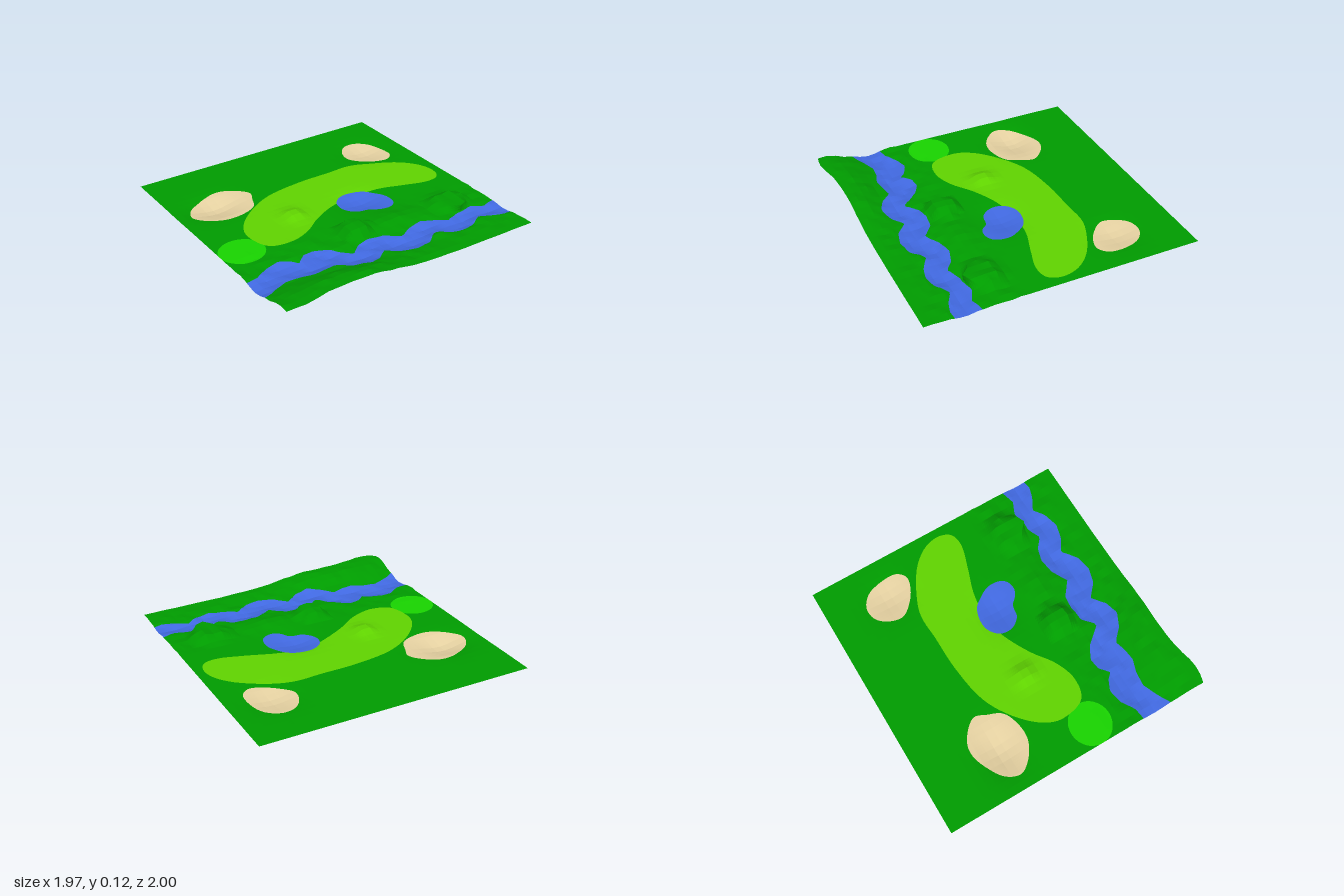
import * as THREE from 'three';

const COARSE = 33, SUB = 3;          // facets per side, and cuts per facet for clean region edges
const X0 = -0.983, Z0 = -1, SIZE = 1.966, BASE = 0.05;

// Closed outline from a few points, smoothed unless it has cusps
function outline(points, smooth = true) {
  if (!smooth) return points;
  const curve = new THREE.CatmullRomCurve3(points.map(([x, z]) => new THREE.Vector3(x, 0, z)), true);
  return curve.getPoints(points.length * 5).slice(0, -1).map(p => [p.x, p.z]);
}

// Signed distance to an outline, negative inside
function distance(poly, x, z) {
  let best = Infinity, inside = false;
  for (let i = 0, j = poly.length - 1; i < poly.length; j = i++) {
    const [ax, az] = poly[i], [bx, bz] = poly[j];
    const dx = bx - ax, dz = bz - az;
    const t = THREE.MathUtils.clamp(((x - ax) * dx + (z - az) * dz) / (dx * dx + dz * dz), 0, 1);
    best = Math.min(best, Math.hypot(x - ax - t * dx, z - az - t * dz));
    if ((az > z) !== (bz > z) && x < ax + (z - az) / dz * dx) inside = !inside;
  }
  return inside ? -best : best;
}

const STREAM = outline([
  [-1.05, 0.51], [-0.97, 0.51], [-0.9, 0.5], [-0.8, 0.44], [-0.7, 0.42], [-0.62, 0.46], [-0.59, 0.5],
  [-0.52, 0.44], [-0.44, 0.43], [-0.35, 0.48], [-0.24, 0.61], [-0.15, 0.53], [-0.05, 0.51], [0.05, 0.53],
  [0.15, 0.61], [0.26, 0.55], [0.37, 0.53], [0.47, 0.56], [0.54, 0.62], [0.65, 0.57], [0.78, 0.55],
  [0.88, 0.6], [0.95, 0.58], [1.05, 0.56],
  [1.05, 0.75], [0.92, 0.765], [0.84, 0.74], [0.75, 0.69], [0.66, 0.75], [0.56, 0.775], [0.46, 0.75],
  [0.36, 0.69], [0.26, 0.77], [0.15, 0.79], [0.04, 0.76], [-0.05, 0.68], [-0.14, 0.75], [-0.24, 0.775],
  [-0.34, 0.73], [-0.42, 0.65], [-0.5, 0.67], [-0.59, 0.68], [-0.68, 0.65], [-0.78, 0.64], [-0.88, 0.68],
  [-0.98, 0.73], [-1.05, 0.74]], false);

const POND = outline([[0.04, 0.08], [0.05, -0.01], [0.12, -0.07], [0.2, -0.08], [0.3, -0.05], [0.36, 0.02],
  [0.4, 0.1], [0.39, 0.2], [0.35, 0.24], [0.29, 0.25], [0.24, 0.23], [0.19, 0.18], [0.1, 0.16]]);
const LEFT_SAND = outline([[0.51, -0.53], [0.53, -0.63], [0.6, -0.71], [0.7, -0.72], [0.79, -0.65],
  [0.83, -0.5], [0.82, -0.41], [0.76, -0.36], [0.67, -0.38], [0.58, -0.44]]);
const RIGHT_SAND = outline([[-0.88, -0.4], [-0.84, -0.5], [-0.74, -0.57], [-0.6, -0.62], [-0.5, -0.6],
  [-0.38, -0.48], [-0.41, -0.39], [-0.46, -0.29], [-0.58, -0.24], [-0.7, -0.24], [-0.82, -0.31]]);
const FAIRWAY = outline([[-0.7, 0.03], [-0.65, -0.1], [-0.5, -0.25], [-0.3, -0.36], [0, -0.41], [0.25, -0.415],
  [0.45, -0.42], [0.6, -0.37], [0.8, -0.25], [0.9, -0.12], [0.92, 0], [0.88, 0.08], [0.78, 0.1], [0.6, 0.05],
  [0.4, -0.015], [0.2, -0.03], [0.03, 0], [-0.18, 0.1], [-0.34, 0.21], [-0.5, 0.26], [-0.65, 0.22]]);
const GREEN = outline(Array.from({ length: 16 }, (_, i) =>
  [-0.825 + 0.16 * Math.cos(i * Math.PI / 8), 0.18 + 0.15 * Math.sin(i * Math.PI / 8)]));

// Hills and hollows: x, z, radius x, radius z, height, sharpness
const BUMPS = [
  [-0.68, -0.44, 0.17, 0.13, -0.048, 2],  // right bunker hollow
  [0.68, -0.55, 0.14, 0.14, -0.03, 2],    // left bunker hollow
  [0.2, 0.07, 0.15, 0.12, -0.032, 2],     // pond hollow
  [-0.3, -0.02, 0.07, 0.08, 0.044, 2],    // fairway knoll
  [-0.08, 0.38, 0.11, 0.105, 0.062, 6],   // steep mounds by the stream
  [0.68, 0.42, 0.14, 0.11, 0.045, 6],
  [0.76, 0.42, 0.06, 0.1, 0.015, 4],
  [0.2, 0.4, 0.2, 0.1, 0.03, 2],
  [-0.62, 0.98, 0.55, 0.24, 0.072, 4],    // front bank
  [0.15, 0.9, 0.2, 0.1, 0.012, 2],
];
const bell = (x, z, rx, rz, p = 2) => Math.exp(-Math.pow(Math.hypot(x / rx, z / rz), p));
const noise = (i, j) => {
  const s = Math.sin(i * 127.1 + j * 311.7) * 43758.5453;
  return (s - Math.floor(s)) * 2 - 1;
};

// Corner of one terrain facet
function corner(i, j) {
  const x = X0 + SIZE * i / COARSE, z = Z0 + SIZE * j / COARSE;
  let y = BASE;
  for (const [bx, bz, rx, rz, h, p] of BUMPS) y += h * bell(x - bx, z - bz, rx, rz, p);
  // stream bed
  y -= 0.022 * THREE.MathUtils.smoothstep(-distance(STREAM, x, z), -0.03, 0.09);
  // rough ground near the stream
  y += 0.006 * noise(i, j) * THREE.MathUtils.smoothstep(z, 0.2, 0.4) * (z > 0.9 && x > -0.2 ? 0.2 : 1);
  // overhanging mound fronts and the bulging front corner
  const dz = 0.09 * bell(x - 0.7, z - 0.49, 0.07, 0.05) + 0.03 * bell(x + 0.08, z - 0.45, 0.09, 0.05)
    + 0.038 * bell(x + 0.87, z - 0.96, 0.14, 0.1) - 0.008 * bell(x + 0.45, z - 0.96, 0.2, 0.1);
  return new THREE.Vector3(x - 0.008 * bell(x + 0.98, z - 0.96, 0.1, 0.15), Math.max(y, 0), z + dz);
}

// Split a polygon where distance k is zero
function split(poly, k) {
  const inside = [], outside = [];
  poly.forEach((a, n) => {
    const b = poly[(n + 1) % poly.length], da = a.d[k], db = b.d[k];
    (da <= 0 ? inside : outside).push(a);
    if ((da <= 0) !== (db <= 0)) {
      const t = da / (da - db);
      const cut = { p: a.p.clone().lerp(b.p, t), d: a.d.map((v, m) => v + (b.d[m] - v) * t) };
      inside.push(cut);
      outside.push(cut);
    }
  });
  return [inside, outside];
}

export function createModel() {
  const material = (name, color) => {
    const m = new THREE.MeshStandardMaterial({ color, side: THREE.DoubleSide });
    m.name = name;
    return m;
  };
  const water = material('water blue', 0x4169e1), sand = material('sand', 0xe6d2a2);
  const regions = [
    { name: 'stream', poly: STREAM, mat: water },
    { name: 'pond', poly: POND, mat: water },
    { name: 'leftBunker', poly: LEFT_SAND, mat: sand },
    { name: 'rightBunker', poly: RIGHT_SAND, mat: sand },
    { name: 'fairway', poly: FAIRWAY, mat: material('fairway green', 0x60d400) },
    { name: 'puttingGreen', poly: GREEN, mat: material('bright green', 0x18d400) },
    { name: 'rough', mat: material('rough green', 0x009c00) },
  ];
  regions.forEach(r => { r.data = []; });

  // Fine grid of points laid over the coarse facets
  const N = COARSE * SUB, corners = [], pts = [];
  for (let j = 0; j <= COARSE; j++) {
    corners.push(Array.from({ length: COARSE + 1 }, (_, i) => corner(i, j)));
  }
  for (let j = 0; j <= N; j++) {
    pts.push([]);
    for (let i = 0; i <= N; i++) {
      const ci = Math.min(Math.floor(i / SUB), COARSE - 1), cj = Math.min(Math.floor(j / SUB), COARSE - 1);
      const s = i / SUB - ci, t = j / SUB - cj;
      const near = corners[cj][ci].clone().lerp(corners[cj][ci + 1], s);
      const far = corners[cj + 1][ci].clone().lerp(corners[cj + 1][ci + 1], s);
      const x = X0 + SIZE * i / N, z = Z0 + SIZE * j / N;
      pts[j].push({ p: near.lerp(far, t), d: regions.filter(r => r.poly).map(r => distance(r.poly, x, z)) });
    }
  }

  // Deal each triangle out to the regions it lies in
  const emit = (region, poly) => {
    for (let n = 1; n + 1 < poly.length; n++) {
      for (const v of [poly[0], poly[n], poly[n + 1]]) region.data.push(v.p.x, v.p.y, v.p.z);
    }
  };
  for (let j = 0; j < N; j++) for (let i = 0; i < N; i++) {
    const a = pts[j][i], b = pts[j + 1][i], c = pts[j + 1][i + 1], d = pts[j][i + 1];
    for (let rest of [[a, b, c], [a, c, d]]) {
      regions.forEach((region, k) => {
        if (!region.poly) return emit(region, rest);
        const [inside, outside] = split(rest, k);
        emit(region, inside);
        rest = outside;
      });
    }
  }

  const group = new THREE.Group();
  group.name = 'golfHole';
  for (const { name, mat, data } of regions) {
    const geometry = new THREE.BufferGeometry();
    geometry.setAttribute('position', new THREE.Float32BufferAttribute(data, 3));
    geometry.computeVertexNormals();
    const mesh = new THREE.Mesh(geometry, mat);
    mesh.name = name;
    group.add(mesh);
  }
  return group;
}
